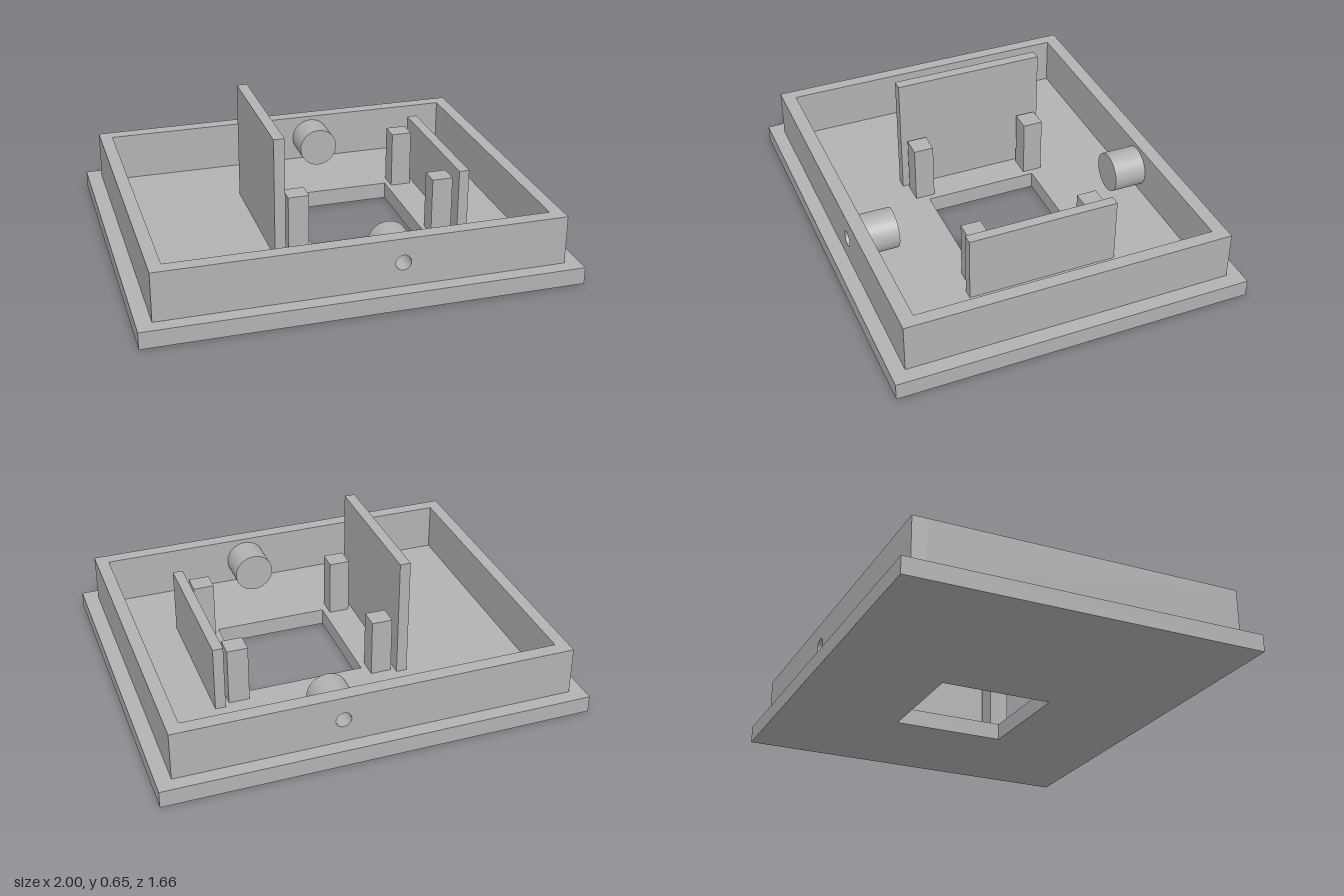
import * as THREE from 'three';

const BASE_TOP = 0.08, RIM_TOP = 0.31;
const OUT_X = 0.93, OUT_Z = 0.765, IN_X = 0.87, IN_Z = 0.70;
const AXIS_X = 0.165, AXIS_Y = 0.195; // screw axis
const BOSS_R = 0.095, BORE_R = 0.036, BOSS_END = 0.545, BORE_END = 0.6;

const rect = (C, x0, y0, x1, y1) => {
  const s = new C();
  s.moveTo(x0, y0); s.lineTo(x1, y0); s.lineTo(x1, y1); s.lineTo(x0, y1); s.closePath();
  return s;
};

export function createModel() {
  const model = new THREE.Group();
  model.name = 'enclosureCover';
  const grey = new THREE.MeshStandardMaterial({ color: 0xb2b2b2, side: THREE.DoubleSide });
  grey.name = 'plastic grey';

  const add = (name, geometry, parent = model) => {
    const mesh = new THREE.Mesh(geometry, grey);
    mesh.name = name;
    parent.add(mesh);
    return mesh;
  };
  const box = (name, x0, x1, y0, y1, z0, z1) =>
    add(name, new THREE.BoxGeometry(x1 - x0, y1 - y0, z1 - z0))
      .position.set((x0 + x1) / 2, (y0 + y1) / 2, (z0 + z1) / 2);

  // Base plate with a square window
  const plate = rect(THREE.Shape, -1, -0.832, 1, 0.832);
  plate.holes.push(rect(THREE.Path, -0.105, -0.27, 0.435, 0.27));
  const plateGeo = new THREE.ExtrudeGeometry(plate, { depth: BASE_TOP, bevelEnabled: false });
  add('basePlate', plateGeo.rotateX(-Math.PI / 2));

  // Rim side walls
  box('leftRimWall', IN_X, OUT_X, BASE_TOP, RIM_TOP, -IN_Z, IN_Z);
  box('rightRimWall', -OUT_X, -IN_X, BASE_TOP, RIM_TOP, -IN_Z, IN_Z);

  // Front and back rim walls, each drilled into a blind screw boss
  for (const side of [1, -1]) {
    const end = new THREE.Group();
    end.name = side > 0 ? 'frontEnd' : 'backEnd';
    model.add(end);

    const panel = rect(THREE.Shape, -OUT_X, BASE_TOP, OUT_X, RIM_TOP);
    const bore = new THREE.Path();
    bore.absarc(AXIS_X, AXIS_Y, BORE_R, 0, Math.PI * 2, true);
    panel.holes.push(bore);
    const wall = new THREE.ExtrudeGeometry(panel, { depth: OUT_Z - IN_Z, bevelEnabled: false, curveSegments: 24 });
    add('rimWall', wall, end).position.z = side > 0 ? IN_Z : -OUT_Z;

    const tube = (name, r, z0, z1) =>
      add(name, new THREE.CylinderGeometry(r, r, z1 - z0, 48, 1, true).rotateX(Math.PI / 2), end)
        .position.set(AXIS_X, AXIS_Y, side * (z0 + z1) / 2);
    const disc = (name, r, z, facing) =>
      add(name, new THREE.CircleGeometry(r, 48).rotateY(facing > 0 ? 0 : Math.PI), end)
        .position.set(AXIS_X, AXIS_Y, side * z);
    tube('screwBoss', BOSS_R, BOSS_END, IN_Z);
    disc('bossCap', BOSS_R, BOSS_END, -side);
    tube('screwBore', BORE_R, BORE_END, IN_Z);
    disc('boreBottom', BORE_R, BORE_END, side);
  }

  // Tall and short upright partitions
  box('tallPartition', -0.30, -0.25, BASE_TOP, 0.655, -0.354, 0.354);
  box('shortPartition', 0.577, 0.625, BASE_TOP, 0.395, -0.354, 0.354);

  // Four square posts around the window
  for (const x of [-0.23, 0.458])
    for (const z of [-0.33, 0.235])
      box('post', x, x + 0.097, BASE_TOP, 0.355, z, z + 0.093);

  return model;
}
